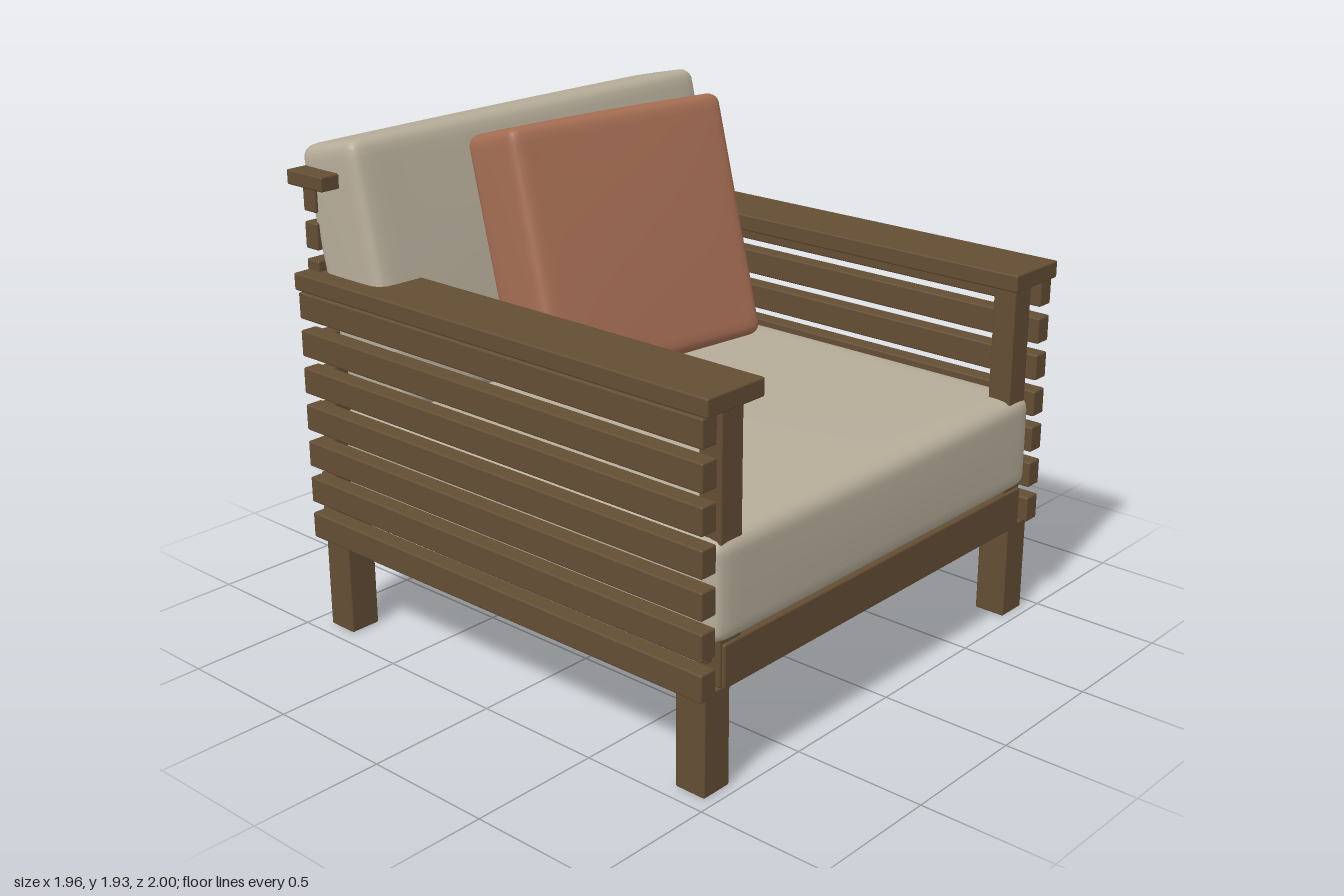
import * as THREE from 'three';
import { mergeVertices } from 'three/addons/utils/BufferGeometryUtils.js';
import { RoundedBoxGeometry } from 'three/addons/geometries/RoundedBoxGeometry.js';

const wood = new THREE.MeshStandardMaterial({ color: 0x634d34 });
wood.name = 'brown wood';
const linen = new THREE.MeshStandardMaterial({ color: 0xb6ac99 });
linen.name = 'beige linen';
const terracotta = new THREE.MeshStandardMaterial({ color: 0xa56d53 });
terracotta.name = 'terracotta fabric';

// Softly rounded wooden bar given by its min and max corners
function bar(parent, name, [x0, y0, z0], [x1, y1, z1]) {
  const mesh = new THREE.Mesh(new RoundedBoxGeometry(x1 - x0, y1 - y0, z1 - z0, 2, 0.007), wood);
  mesh.position.set((x0 + x1) / 2, (y0 + y1) / 2, (z0 + z1) / 2);
  mesh.name = name;
  parent.add(mesh);
}

// Stuffed cushion: rounded box whose faces swell by the crown amounts
function cushion(name, size, radius, crown, material) {
  const half = size.map((s) => s / 2);
  const geo = new THREE.BoxGeometry(2, 2, 2, 24, 24, 24);
  geo.deleteAttribute('uv');
  geo.deleteAttribute('normal');
  const merged = mergeVertices(geo);
  const pos = merged.attributes.position;
  for (let i = 0; i < pos.count; i++) {
    // Crowd the grid toward the edges so the rounding stays smooth
    const t = [pos.getX(i), pos.getY(i), pos.getZ(i)].map((v) => Math.sin((v * Math.PI) / 2));
    const p = t.map((v, k) => v * half[k]);
    const core = p.map((v, k) => THREE.MathUtils.clamp(v, radius - half[k], half[k] - radius));
    const n = new THREE.Vector3(...p.map((v, k) => v - core[k])).normalize().toArray();
    const out = core.map((c, k) => {
      const a = t[(k + 1) % 3], b = t[(k + 2) % 3];
      return c + n[k] * (radius + crown[k] * (1 - a * a) * (1 - b * b));
    });
    pos.setXYZ(i, ...out);
  }
  merged.computeVertexNormals();
  const mesh = new THREE.Mesh(merged, material);
  mesh.name = name;
  return mesh;
}

export function createModel() {
  const chair = new THREE.Group();
  chair.name = 'slattedArmchair';
  const frame = new THREE.Group();
  frame.name = 'woodenFrame';
  chair.add(frame);

  const slatHeight = 0.1;

  // Both sides: legs, front posts, slats and armrest
  for (const s of [1, -1]) {
    const side = s > 0 ? 'left' : 'right';
    const sideBar = (name, x0, x1, y0, y1, z0, z1) =>
      bar(frame, side + name, [Math.min(s * x0, s * x1), y0, z0], [Math.max(s * x0, s * x1), y1, z1]);
    sideBar('FrontLeg', 0.815, 0.94, 0, 0.375, 0.835, 0.96);
    sideBar('BackLeg', 0.815, 0.94, 0, 0.375, -0.925, -0.80);
    sideBar('FrontPost', 0.765, 0.87, 0.375, 1.34, 0.87, 0.963);
    for (let i = 0; i < 7; i++) {
      const y = 0.37 + i * 0.1435;
      sideBar('SideSlat' + (i + 1), 0.91, 0.98, y, y + slatHeight, -0.945, 0.98);
    }
    sideBar('Armrest', 0.71, 0.98, 1.335, 1.4, -0.965, 1);
  }

  // Back slats, spaced a little closer, and cap rail
  for (let i = 0; i < 10; i++) {
    const y = 0.37 + i * 0.1385;
    bar(frame, 'backSlat' + (i + 1), [-0.915, y, -0.967], [0.915, y + slatHeight, -0.9]);
  }
  bar(frame, 'backCapRail', [-0.98, 1.725, -0.967], [0.98, 1.78, -0.775]);

  // Seat base with front and back rails
  bar(frame, 'seatBase', [-0.9, 0.46, -0.84], [0.9, 0.53, 0.93]);
  bar(frame, 'frontRail', [-0.86, 0.37, 0.90], [0.86, 0.53, 0.974]);
  bar(frame, 'backRail', [-0.86, 0.37, -0.905], [0.86, 0.53, -0.86]);

  // Cushions
  const seat = cushion('seatCushion', [1.8, 0.37, 1.83], 0.055, [0.005, 0.014, 0.008], linen);
  seat.position.set(0, 0.71, 0.065);
  chair.add(seat);

  const back = cushion('backCushion', [1.8, 0.98, 0.315], 0.05, [0.005, 0.006, 0.018], linen);
  back.position.set(0, 1.398, -0.743);
  back.rotation.x = -0.226;
  chair.add(back);

  const pillow = cushion('throwPillow', [0.985, 0.93, 0.3], 0.042, [0.006, 0.006, 0.014], terracotta);
  pillow.position.set(-0.003, 1.452, -0.282);
  pillow.rotation.set(-0.28, -0.133, 0, 'YXZ');
  chair.add(pillow);

  return chair;
}
